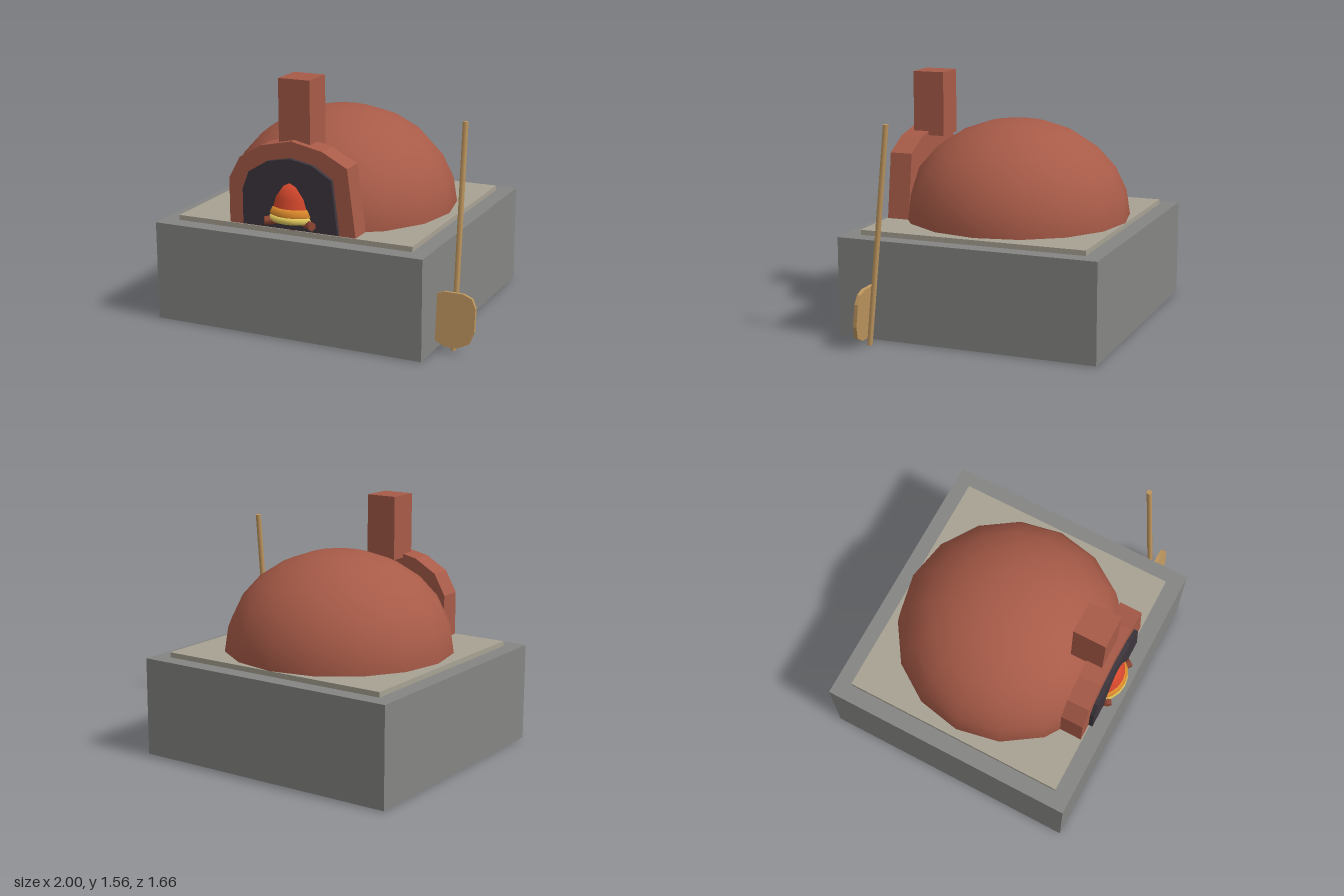
import * as THREE from 'three';

const mat = (name, color) => {
  const m = new THREE.MeshStandardMaterial({ color });
  m.name = name;
  return m;
};

export function createModel() {
  const root = new THREE.Group();
  root.name = 'pizzaOven';
  const brick = mat('brick', 0xa85b48);
  const stone = mat('stone', 0x858583);
  const slabStone = mat('paleStone', 0xa8a294);
  const soot = mat('soot', 0x3d363d);
  const wood = mat('wood', 0xbf975f);
  const red = mat('flameRed', 0xdb4a2e);
  const orange = mat('flameOrange', 0xdd8a2c);
  const yellow = mat('flameYellow', 0xe8cf60);
  const logWood = mat('log', 0x8f4634);
  const CX = -0.12; // oven axis

  const add = (name, geo, material, x = 0, y = 0, z = 0, parent = root) => {
    const m = new THREE.Mesh(geo, material);
    m.name = name;
    m.position.set(x, y, z);
    parent.add(m);
    return m;
  };
  const plate = (points, depth) => new THREE.ExtrudeGeometry(
    new THREE.Shape(points.map(([x, y]) => new THREE.Vector2(x, y))),
    { depth, bevelEnabled: false });

  // Plinth and hearth slab
  add('plinth', new THREE.BoxGeometry(1.76, 0.62, 1.66), stone, CX, 0.315, 0);
  add('hearthSlab', new THREE.BoxGeometry(1.55, 0.032, 1.45), slabStone, CX, 0.641, 0);

  // Flattened half-sphere dome
  const dome = add('dome', new THREE.SphereGeometry(0.725, 16, 6, 0, Math.PI * 2, 0, Math.PI / 2),
    brick, CX, 0.655, 0);
  dome.scale.y = 0.855;

  // Entrance arch and dark mouth
  add('entranceArch', plate([
    [0.415, 0.655], [0.36, 1.07], [0.2, 1.155], [0, 1.198],
    [-0.2, 1.155], [-0.345, 1.07], [-0.42, 0.935], [-0.42, 0.655],
  ], 0.145), brick, CX, 0, 0.573);
  add('ovenMouth', plate([
    [0.31, 0.667], [0.27, 0.995], [0.148, 1.07], [0, 1.098],
    [-0.148, 1.07], [-0.272, 0.995], [-0.315, 0.885], [-0.315, 0.667],
  ], 0.05), soot, CX, 0, 0.695);

  // Chimney over the arch
  add('chimney', new THREE.BoxGeometry(0.205, 0.41, 0.208), brick, CX, 1.355, 0.571);

  // Fire: front halves of stacked tapering rings, bulging out of the mouth
  const ring = (name, material, profile) => add(name, new THREE.LatheGeometry(
    profile.map(([r, y]) => new THREE.Vector2(r, y)), 10, -Math.PI / 2, Math.PI),
  material, CX, 0, 0.62);
  ring('flameTip', red, [[0.17, 0.79], [0.155, 0.86], [0.124, 0.955], [0, 0.96]]);
  ring('flameMiddle', orange, [[0.178, 0.745], [0.186, 0.76], [0.172, 0.8], [0.1, 0.802]]);
  ring('flameBase', yellow, [[0.1, 0.706], [0.178, 0.71], [0.192, 0.728], [0.182, 0.752], [0.1, 0.754]]);

  // Log ends either side of the fire
  for (const s of [-1, 1]) {
    const log = add('fireLog', new THREE.CylinderGeometry(0.028, 0.028, 0.2, 6), logWood,
      CX + s * 0.075, 0.711, 0.715);
    log.rotation.set(Math.PI / 2, 0, -s * 0.98);
  }

  // Leaning wooden peel: shaft with a flat rounded blade on its front
  const peel = new THREE.Group();
  peel.name = 'peel';
  peel.position.set(0.86, 0.003, 0.573);
  peel.rotation.x = -0.0985;
  root.add(peel);
  add('peelHandle', new THREE.CylinderGeometry(0.0175, 0.0175, 1.357, 8), wood, 0, 0.678, 0, peel);
  const half = [[0.04, 0.028], [0.11, 0.062], [0.14, 0.14], [0.14, 0.28], [0.115, 0.335], [0.06, 0.357]];
  const outline = [...half, ...half.map(([x, y]) => [-x, y]).reverse()];
  add('peelBlade', plate(outline, 0.023), wood, 0, 0, 0.029, peel);

  return root;
}
